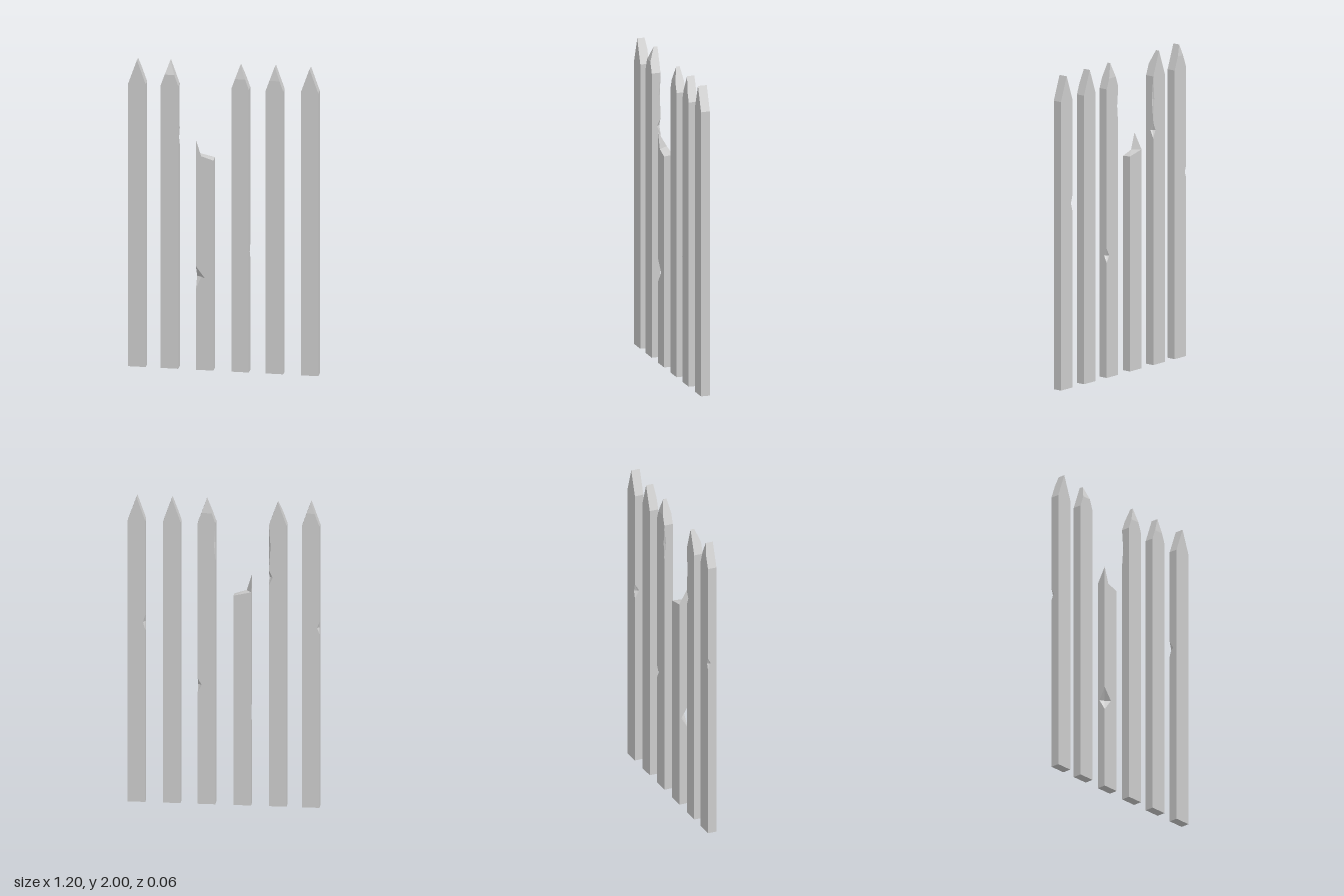
import * as THREE from 'three';

const HX = 0.055, HZ = 0.029, SHOULDER = 1.845, TOP = 2;
const CORNERS = [[-1, 1], [1, 1], [1, -1], [-1, -1]];

// Cross-section at height y: every corner has three points, which spread apart where a nick bites into it
function section(y, nicks, hx = HX) {
  const loop = [];
  for (const [sx, sz] of CORNERS) {
    let dx = 0, dz = 0;
    for (const n of nicks) {
      if (n.sx !== sx || n.sz !== sz) continue;
      const a = Math.max(0, 1 - Math.abs(y - n.y) / n.h);
      dx += n.dx * a;
      dz += n.dz * a;
    }
    const pts = [
      new THREE.Vector3(sx * hx, y, sz * (HZ - dz)),
      new THREE.Vector3(sx * (hx - dx * 0.5), y, sz * (HZ - dz * 0.65)),
      new THREE.Vector3(sx * (hx - dx), y, sz * HZ),
    ];
    loop.push(...(sx * sz < 0 ? pts : pts.reverse()));
  }
  return loop;
}

// Body sections from the ground up, with extra levels at each nick
function bodySections(nicks, top) {
  const levels = new Set([0, top]);
  for (const n of nicks) [n.y - n.h, n.y, n.y + n.h].forEach((y) => levels.add(y));
  return [...levels].sort((a, b) => a - b).map((y) => section(y, nicks));
}

// Joins the loops with flat faces and caps both ends
function loft(loops) {
  const pos = [];
  const tri = (a, b, c) => {
    const area = b.clone().sub(a).cross(c.clone().sub(a)).length();
    if (area > 1e-8) pos.push(...a.toArray(), ...b.toArray(), ...c.toArray());
  };
  const n = loops[0].length;
  for (let k = 0; k < loops.length - 1; k++) {
    const lo = loops[k], hi = loops[k + 1];
    for (let i = 0; i < n; i++) {
      const j = (i + 1) % n;
      tri(lo[i], lo[j], hi[j]);
      tri(lo[i], hi[j], hi[i]);
    }
  }
  const base = loops[0], cap = loops[loops.length - 1];
  for (let i = 1; i < n - 1; i++) {
    tri(base[0], base[i + 1], base[i]);
    tri(cap[2], cap[(2 + i) % n], cap[(3 + i) % n]);
  }
  const geo = new THREE.BufferGeometry();
  geo.setAttribute('position', new THREE.Float32BufferAttribute(pos, 3));
  geo.computeVertexNormals();
  return geo;
}

// Pointed picket: the ridge ends can be chipped back at the front and the rear
function pointedPicket({ nicks = [], chipFront = 0, chipBack = 0, chipY = 1.92 }) {
  const loops = bodySections(nicks, SHOULDER);
  loops.push(section(chipY, [], HX * (TOP - chipY) / (TOP - SHOULDER)));
  loops.push(section(TOP, [], 0).map((p) =>
    p.setZ(p.z > 0 ? HZ - chipFront : -HZ + chipBack)));
  return loft(loops);
}

// Snapped picket: a slanted break with a splinter at the front corner
function brokenPicket({ nicks }) {
  const loops = bodySections(nicks, 1.3);
  const top = section(1.4, []);
  top[0].y = top[1].y = 1.5;
  top[2].set(-0.022, 1.395, HZ);
  for (let i = 3; i < 6; i++) top[i].y = 1.37;
  for (let i = 6; i < 9; i++) top[i].y = 1.375;
  for (let i = 9; i < 12; i++) top[i].y = 1.4;
  loops.push(top);
  return loft(loops);
}

const nick = (sx, sz, y, h, dx, dz) => ({ sx, sz, y, h, dx, dz });

const PICKETS = [
  { x: -0.545, chipBack: 0.01, chipY: 1.93, nicks: [nick(-1, -1, 1.18, 0.04, 0.014, 0.02)] },
  { x: -0.34, chipFront: 0.033, chipY: 1.915,
    nicks: [nick(1, -1, 1.5, 0.05, 0.022, 0.024), nick(1, -1, 1.7, 0.14, 0.01, 0.012)] },
  { x: -0.118, broken: true, nicks: [nick(-1, 1, 0.6, 0.075, 0.056, 0.045)] },
  { x: 0.105, chipFront: 0.018, chipBack: 0.018, chipY: 1.91,
    nicks: [nick(1, -1, 0.78, 0.045, 0.024, 0.022), nick(-1, -1, 1.72, 0.12, 0.01, 0.01)] },
  { x: 0.322, chipFront: 0.01, chipY: 1.91 },
  { x: 0.543, nicks: [nick(-1, -1, 1.18, 0.05, 0.014, 0.03)] },
];

export function createModel() {
  const group = new THREE.Group();
  group.name = 'picketFence';
  const material = new THREE.MeshStandardMaterial({ color: 0xcccccc, flatShading: true });
  PICKETS.forEach((p, i) => {
    const mesh = new THREE.Mesh(p.broken ? brokenPicket(p) : pointedPicket(p), material);
    mesh.name = p.broken ? 'brokenPicket' : `picket${i + 1}`;
    mesh.position.x = p.x;
    group.add(mesh);
  });
  return group;
}
